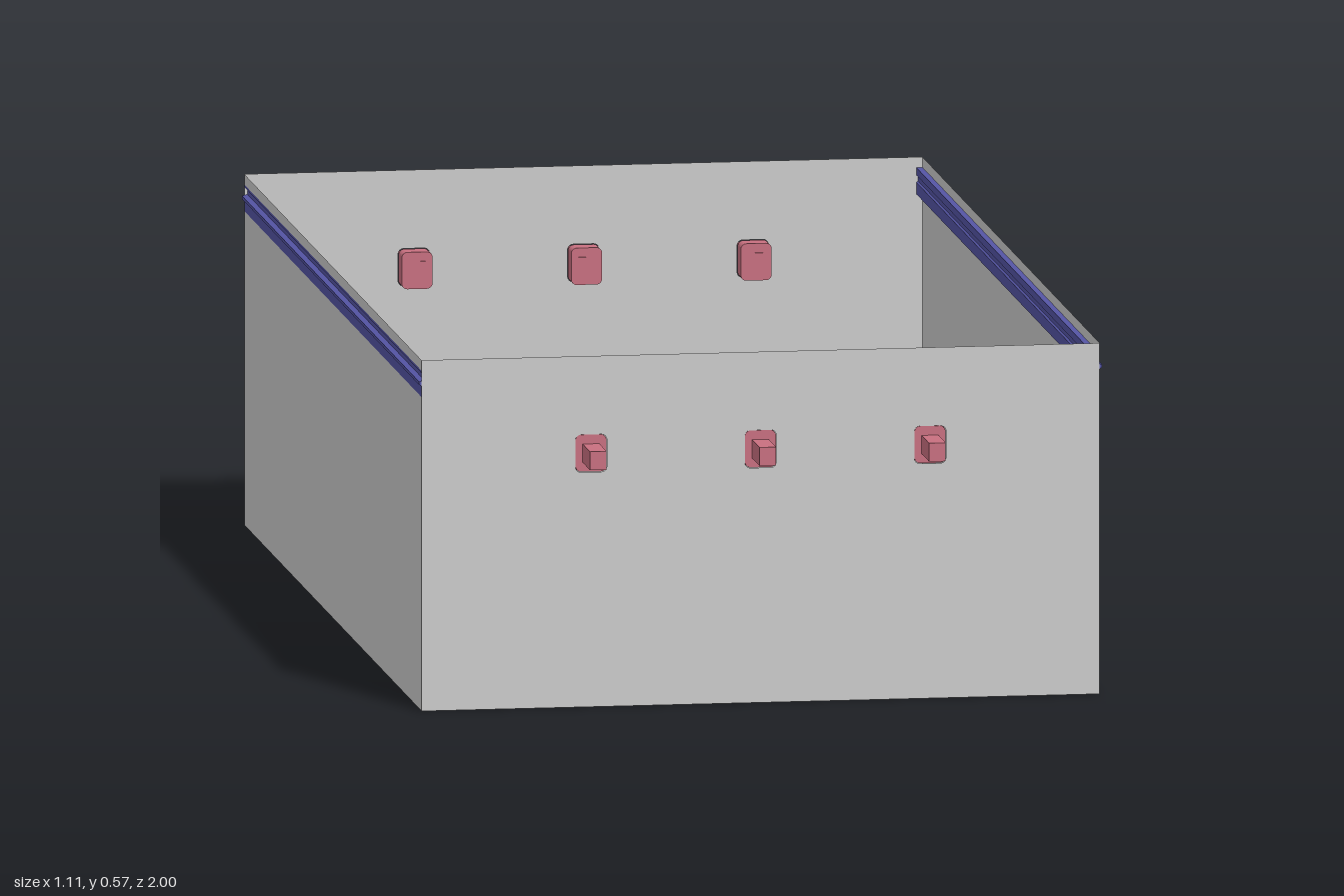
import * as THREE from 'three';

const W = 0.55, H = 0.57, D = 0.925; // half width, height, half depth
const PEG_X = [-0.275, 0, 0.275], PEG_Y = 0.412;
const RAIL_LOW = 0.51, RAIL_TOP = 0.553;

const grey = new THREE.MeshStandardMaterial({ color: 0xcccccc, side: THREE.DoubleSide });
const blue = new THREE.MeshStandardMaterial({ color: 0x5555a5 });
const pink = new THREE.MeshStandardMaterial({ color: 0xc87080 });

function add(parent, name, geometry, material) {
  const mesh = new THREE.Mesh(geometry, material);
  mesh.name = name;
  parent.add(mesh);
  return mesh;
}

// Rounded rectangle outline, used for peg heads and their holes
function roundedRect(Type, cx, cy, w, h, r) {
  const s = new Type(), x = w / 2, y = h / 2;
  s.absarc(cx + x - r, cy + y - r, r, 0, Math.PI / 2);
  s.absarc(cx - x + r, cy + y - r, r, Math.PI / 2, Math.PI);
  s.absarc(cx - x + r, cy - y + r, r, Math.PI, Math.PI * 1.5);
  s.absarc(cx + x - r, cy - y + r, r, Math.PI * 1.5, Math.PI * 2);
  s.closePath();
  return s;
}

// End panel with three peg openings, plus the pegs through it
function makeEnd() {
  const end = new THREE.Group();
  const panel = new THREE.Shape([[-W, 0], [W, 0], [W, H], [-W, H]].map(p => new THREE.Vector2(...p)));
  for (const x of PEG_X) panel.holes.push(roundedRect(THREE.Path, x, PEG_Y, 0.051, 0.061, 0.009));
  add(end, 'endPanel', new THREE.ShapeGeometry(panel, 4), grey).position.z = D;

  const headGeo = new THREE.ExtrudeGeometry(roundedRect(THREE.Shape, 0, 0, 0.05, 0.06, 0.009),
    { depth: 0.033, bevelEnabled: false, curveSegments: 4 });
  const shaftGeo = new THREE.BoxGeometry(0.027, 0.03, 0.112);
  for (const x of PEG_X) {
    const peg = new THREE.Group();
    peg.name = 'peg';
    peg.position.set(x, PEG_Y, 0);
    add(peg, 'pegHead', headGeo, pink).position.z = 0.89;
    add(peg, 'pegShaft', shaftGeo, pink).position.z = 0.944;
    end.add(peg);
  }
  return end;
}

// Side wall in two strips with the grooved rail set between them
function makeSide() {
  const side = new THREE.Group();
  for (const [name, y0, y1] of [['sideWall', 0, RAIL_LOW], ['sideRim', RAIL_TOP, H]]) {
    const wall = add(side, name, new THREE.PlaneGeometry(D * 2, y1 - y0), grey);
    wall.rotation.y = Math.PI / 2;
    wall.position.set(W, (y0 + y1) / 2, 0);
  }
  const profile = new THREE.Shape([
    [0.54, RAIL_LOW], [0.55, RAIL_LOW], [0.55, 0.528], [0.554, 0.53], [0.554, 0.535],
    [0.545, 0.537], [0.545, 0.547], [0.55, 0.549], [0.55, RAIL_TOP], [0.54, RAIL_TOP],
    [0.54, 0.541], [0.543, 0.539], [0.543, 0.531], [0.54, 0.529],
  ].map(p => new THREE.Vector2(...p)));
  const rail = add(side, 'sideRail',
    new THREE.ExtrudeGeometry(profile, { depth: 1.848, bevelEnabled: false }), blue);
  rail.position.z = -0.924;
  return side;
}

export function createModel() {
  const model = new THREE.Group();
  model.name = 'openTray';

  const floor = add(model, 'floor', new THREE.PlaneGeometry(W * 2, D * 2), grey);
  floor.rotation.x = -Math.PI / 2;

  // Each end and side is repeated by a half turn
  for (const [i, label] of ['front', 'back'].entries()) {
    const end = makeEnd();
    end.name = label + 'End';
    end.rotation.y = i * Math.PI;
    model.add(end);
  }
  for (const [i, label] of ['left', 'right'].entries()) {
    const side = makeSide();
    side.name = label + 'Side';
    side.rotation.y = i * Math.PI;
    model.add(side);
  }
  return model;
}
